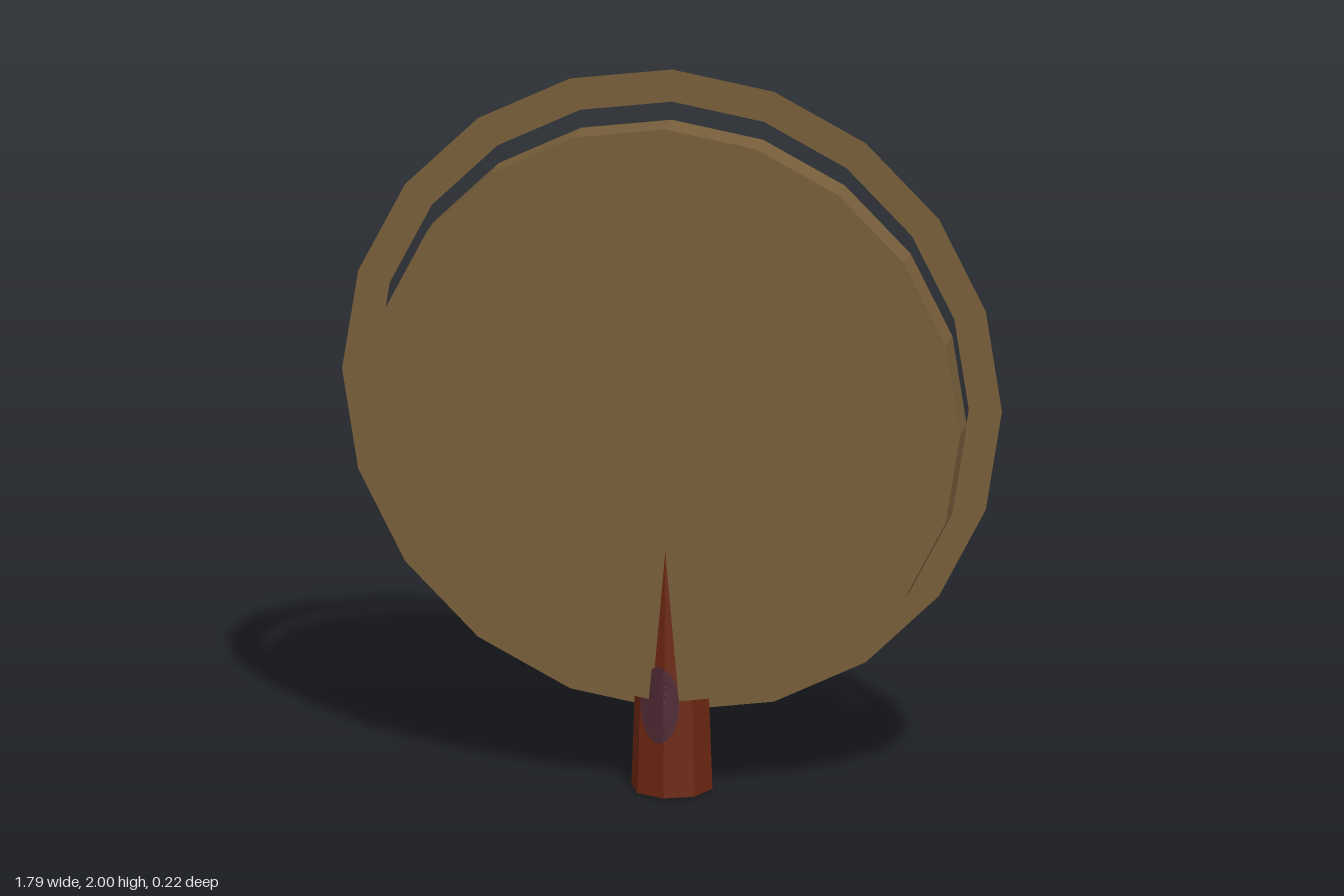
import * as THREE from 'three';

const mat = (name, color, side = THREE.FrontSide) => {
  const m = new THREE.MeshStandardMaterial({ color, side });
  m.name = name;
  return m;
};

// split the faces so that every facet is flat
function faceted(geometry) {
  const g = geometry.index ? geometry.toNonIndexed() : geometry;
  g.computeVertexNormals();
  return g;
}

const HEIGHT = 0.68, R_BOTTOM = 0.11, R_TOP = 0.085, SIDES = 8;

// distance from the trunk axis to its eight-sided surface
function trunkRadius(angle, y) {
  const step = (Math.PI * 2) / SIDES;
  const a = ((angle % step) + step) % step;
  const r = R_BOTTOM + (R_TOP - R_BOTTOM) * (y / HEIGHT);
  return (r * Math.cos(step / 2)) / Math.cos(a - step / 2);
}

// round patch wrapped thinly around the trunk
function barkSpot(angle, y, halfAngle, halfHeight) {
  const g = new THREE.RingGeometry(0.001, 1, 28, 7);
  const p = g.attributes.position;
  for (let i = 0; i < p.count; i++) {
    const a = angle + p.getX(i) * halfAngle;
    const h = y + p.getY(i) * halfHeight;
    const r = trunkRadius(a, h) + 0.003;
    p.setXYZ(i, Math.sin(a) * r, h, Math.cos(a) * r);
  }
  return faceted(g);
}

export function createModel() {
  const model = new THREE.Group();
  model.name = 'tree';
  const foliage = mat('foliageBrown', 0x785f3b);
  const foliageFlat = mat('foliageBrownFlat', 0x785f3b, THREE.DoubleSide);
  const bark = mat('barkRed', 0x6b2611);
  const spot = mat('barkSpotPurple', 0x4e2832);

  const add = (name, geometry, material, x = 0, y = 0, z = 0) => {
    const mesh = new THREE.Mesh(geometry, material);
    mesh.name = name;
    mesh.position.set(x, y, z);
    model.add(mesh);
  };

  // tapered trunk
  const trunk = new THREE.CylinderGeometry(R_TOP, R_BOTTOM, HEIGHT, SIDES);
  add('trunk', faceted(trunk), bark, 0, HEIGHT / 2, 0);

  // purple patches on the bark and on the cut top
  add('frontBarkSpot', barkSpot(-0.17, 0.255, 0.58, 0.105), spot);
  add('sideBarkSpot', barkSpot(2.05, 0.49, 0.8, 0.1), spot);
  const topSpot = new THREE.CircleGeometry(0.026, 16).rotateX(-Math.PI / 2);
  add('topSpot', topSpot, spot, -0.03, HEIGHT + 0.002, -0.03);

  // thick disc of the crown
  const disc = new THREE.CylinderGeometry(0.8, 0.8, 0.085, 20).rotateX(Math.PI / 2);
  add('crownDisc', faceted(disc), foliage, 0, 1.06, 0.0425);

  // flat ring behind the disc, leaving a crescent gap at the top
  const ring = new THREE.RingGeometry(0.805, 0.895, 20, 1, Math.PI / 2);
  add('crownRing', ring, foliageFlat, 0, 1.105, -0.001);

  return model;
}
